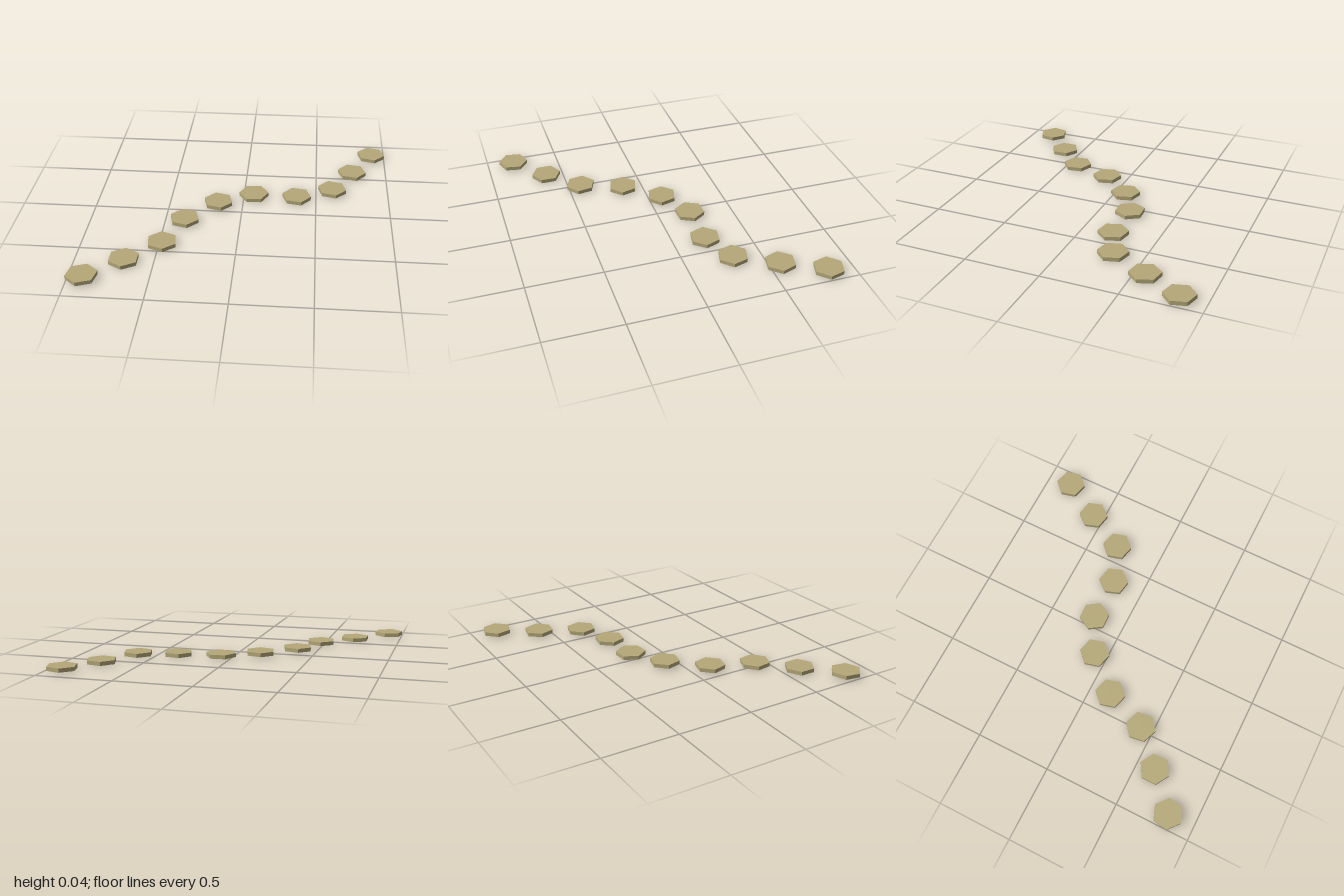
import * as THREE from 'three';

const RADIUS = 0.1;
const THICKNESS = 0.026;

// Stepping stones along the path: centre x, centre z, underside height, turn in degrees
const STONES = [
  [-0.91, 0.82, 0.013, -10],
  [-0.69, 0.62, 0.003, 0],
  [-0.48, 0.417, 0.004, 8.5],
  [-0.37, 0.137, 0.007, 14.5],
  [-0.166, -0.085, 0.011, 15],
  [0.07, -0.209, 0.008, 32.5],
  [0.366, -0.211, 0.0, 19.5],
  [0.612, -0.31, 0.008, 15.5],
  [0.757, -0.572, 0.002, 19],
  [0.904, -0.832, 0.008, 14.5],
];

export function createModel() {
  const path = new THREE.Group();
  path.name = 'steppingStonePath';

  // One hexagonal slab shared by every stone
  const slab = new THREE.CylinderGeometry(RADIUS, RADIUS, THICKNESS, 6);
  const stone = new THREE.MeshStandardMaterial({ color: 0xb5a878, flatShading: true });

  STONES.forEach(([x, z, bottom, turn], i) => {
    const mesh = new THREE.Mesh(slab, stone);
    mesh.name = `steppingStone${i + 1}`;
    mesh.position.set(x, bottom + THICKNESS / 2, z);
    mesh.rotation.y = THREE.MathUtils.degToRad(turn);
    path.add(mesh);
  });

  return path;
}
